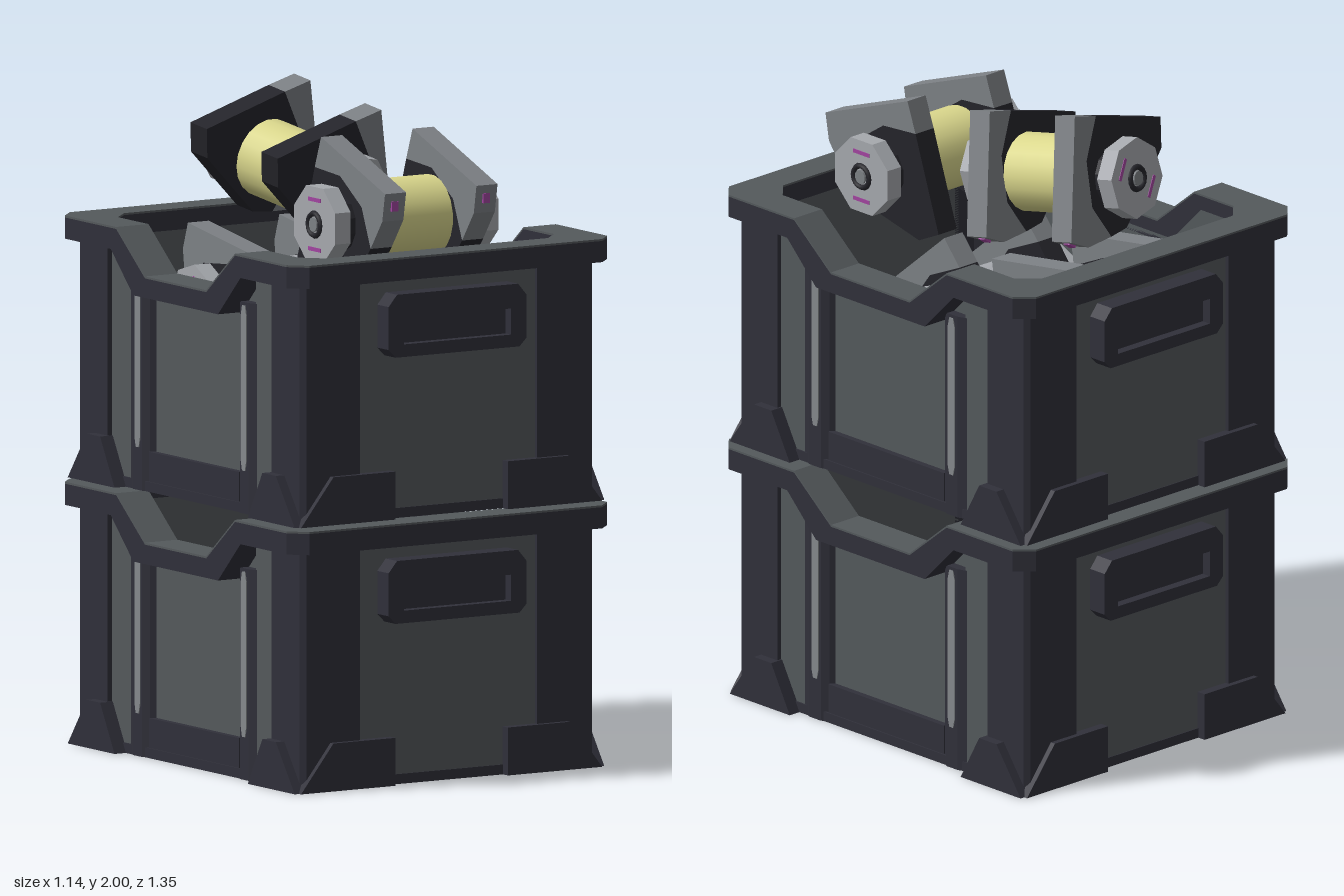
import * as THREE from 'three';

const mat = (name, color) => {
  const m = new THREE.MeshStandardMaterial({ color });
  m.name = name;
  return m;
};

const dark = mat('charcoal plastic', 0x30303a);
const grey = mat('grey panel', 0x54595c);
const sheen = mat('pale rib', 0x85898c);
const silver = mat('silver metal', 0xa6a9ae);
const steel = mat('steel grey', 0x7d8185);
const black = mat('black metal', 0x25252b);
const yellow = mat('pale yellow', 0xdad78c);
const magenta = mat('magenta mark', 0xa245a0);

function add(group, name, geometry, material) {
  const mesh = new THREE.Mesh(geometry, material);
  mesh.name = name;
  group.add(mesh);
  return mesh;
}

const shapeOf = pts => new THREE.Shape(pts.map(([a, b]) => new THREE.Vector2(a, b)));
const extrude = (shape, depth) => new THREE.ExtrudeGeometry(shape, { depth, bevelEnabled: false });

// Plan outline given as [x, z], extruded from y0 to y1
function plan(pts, y0, y1) {
  return extrude(shapeOf(pts.map(([x, z]) => [x, -z])), y1 - y0).rotateX(-Math.PI / 2).translate(0, y0, 0);
}
// Side outline given as [z, y], extruded from x0 to x1
function side(pts, x0, x1) {
  return extrude(shapeOf(pts.map(([z, y]) => [-z, y])), x1 - x0).rotateY(Math.PI / 2).translate(x0, 0, 0);
}
// Front outline given as [x, y], extruded from z0 to z1
function front(pts, z0, z1, hole) {
  const shape = shapeOf(pts);
  if (hole) shape.holes.push(shapeOf(hole));
  return extrude(shape, z1 - z0).translate(0, 0, z0);
}
function box(x0, x1, y0, y1, z0, z1) {
  return new THREE.BoxGeometry(x1 - x0, y1 - y0, z1 - z0)
    .translate((x0 + x1) / 2, (y0 + y1) / 2, (z0 + z1) / 2);
}
const mirrored = half => [...half, ...half.map(([a, b]) => [-a, b]).reverse()];

function createCrate() {
  const crate = new THREE.Group();
  crate.name = 'crate';
  add(crate, 'base', box(-0.51, 0.51, 0, 0.03, -0.615, 0.615), dark);
  add(crate, 'innerFloor', box(-0.46, 0.46, 0.22, 0.25, -0.57, 0.57), dark);

  // Corner columns
  for (const sx of [-1, 1]) for (const sz of [-1, 1]) {
    const pts = [[0.315, 0.56], [0.315, 0.625], [0.505, 0.625], [0.52, 0.61],
      [0.52, 0.455], [0.455, 0.455], [0.455, 0.5], [0.395, 0.56]];
    add(crate, 'cornerColumn', plan(pts.map(([x, z]) => [x * sx, z * sz]), 0, 0.73), dark);
  }

  const railTop = [[0.5, 0.795], [0.33, 0.795], [0.17, 0.665]];
  const railLow = [[0.5, 0.725], [0.36, 0.725], [0.235, 0.6]];
  const wallTop = railLow.map(([z, y]) => [z, y + 0.02]);
  const strip = (a, b) => [...mirrored(a), ...mirrored(b).reverse()];
  const endRail = [[-0.57, 0.5], [-0.57, 0.615], [-0.52, 0.665], [0.52, 0.665], [0.57, 0.615],
    [0.57, 0.5], [0.455, 0.5], [0.395, 0.56], [-0.395, 0.56], [-0.455, 0.5]];

  // Each half holds one end wall and one long side wall
  for (const turn of [0, Math.PI]) {
    const half = new THREE.Group();
    half.name = 'crateHalf';
    half.rotation.y = turn;
    crate.add(half);

    // End wall with rim and handle
    add(half, 'endPanel', box(-0.33, 0.33, 0, 0.73, 0.56, 0.612), grey);
    add(half, 'endRim', plan(endRail, 0.725, 0.789), dark);
    add(half, 'endRimTop', plan(endRail, 0.789, 0.795), grey);
    const handle = mirrored([[0.22, 0.495], [0.245, 0.52], [0.245, 0.65], [0.215, 0.685]]);
    const slot = mirrored([[0.19, 0.533], [0.19, 0.612]]);
    add(half, 'handle', front(handle, 0.6, 0.675, slot), dark);
    add(half, 'handleRecess', box(-0.2, 0.2, 0.52, 0.62, 0.61, 0.645), dark);

    // Side wall with dipped rim
    add(half, 'sideWall', side([...mirrored(wallTop), [-0.5, 0], [0.5, 0]], 0.455, 0.485), grey);
    add(half, 'sideRim', side(strip(railTop.map(([z, y]) => [z, y - 0.006]), railLow), 0.455, 0.57), dark);
    add(half, 'sideRimTop', side(strip(railTop, railTop.map(([z, y]) => [z, y - 0.006])), 0.455, 0.57), grey);
    add(half, 'sideSill', side([[-0.25, 0], [-0.25, 0.12], [0.25, 0.12], [0.25, 0]], 0.48, 0.505), dark);
    for (const s of [-1, 1]) {
      const zBox = (x0, x1, y0, y1, a, b) => box(x0, x1, y0, y1, Math.min(a * s, b * s), Math.max(a * s, b * s));
      add(half, 'sidePanel', zBox(0.48, 0.505, 0, 0.73, 0.345, 0.46), grey);
      const post = [[0.48, 0.235], [0.5, 0.25], [0.515, 0.272], [0.515, 0.32], [0.505, 0.35], [0.48, 0.35]];
      add(half, 'sideRib', plan(post.map(([x, z]) => [x, z * s]), 0, 0.64), dark);
      const mark = [[0.28, 0.16], [0.28, 0.6], [0.287, 0.63], [0.303, 0.63], [0.31, 0.6], [0.31, 0.16], [0.303, 0.13], [0.287, 0.13]];
      add(half, 'ribHighlight', side(mark.map(([z, y]) => [z * s, y]), 0.513, 0.518), sheen);

      // Foot guards that meet at the bottom corners
      const endFoot = [[0.2, 0], [0.2, 0.145], [0.42, 0.145], [0.535, 0]];
      add(half, 'endFootGuard', front(endFoot.map(([x, y]) => [x * s, y]), 0.6, 0.642), dark);
      const sideFoot = [[0.37, 0], [0.45, 0.145], [0.525, 0.145], [0.63, 0]];
      add(half, 'sideFootGuard', side(sideFoot.map(([z, y]) => [z * s, y]), 0.48, 0.55), dark);
    }
  }
  return crate;
}

// Cylinder lying along x
function roller(r, x0, x1, sides, flat) {
  let g = new THREE.CylinderGeometry(r, r, Math.abs(x1 - x0), sides);
  g.rotateY(Math.PI / sides).rotateZ(Math.PI / 2).translate((x0 + x1) / 2, 0, 0);
  if (flat) {
    g = g.toNonIndexed();
    g.computeVertexNormals();
  }
  return g;
}

function createReel(core) {
  const reel = new THREE.Group();
  reel.name = 'reel';
  const light = [[0.25, 0.115], [0.235, 0.03], [0.17, -0.06], [0.12, 0.06], [0, 0.14], [-0.14, 0.15], [-0.105, 0.245]];
  const shade = [[0.17, -0.06], [0.12, 0.06], [0, 0.14], [-0.14, 0.15], [-0.24, -0.145], [-0.155, -0.185], [0.12, -0.12]];
  add(reel, 'reelCore', roller(0.12, -0.125, 0.125, 20, false), core);
  for (const s of [-1, 1]) {
    const a = s > 0 ? 0.125 : -0.2;
    add(reel, 'bracketPlate', side(light, a, a + 0.075), steel);
    add(reel, 'bracketBack', side(shade, a, a + 0.075), black);
    add(reel, 'bracketMark', box(s * 0.1625 - 0.012, s * 0.1625 + 0.012, 0.06, 0.09, 0.24, 0.249), magenta);
    add(reel, 'collar', roller(0.09, s * 0.19, s * 0.24, 12, true), black);
    add(reel, 'endDisc', roller(0.123, s * 0.235, s * 0.29, 8, true), silver);
    const ring = new THREE.TorusGeometry(0.034, 0.009, 6, 16).rotateY(Math.PI / 2).translate(s * 0.29, 0, 0);
    add(reel, 'hubRing', ring, black);
    add(reel, 'hub', roller(0.022, s * 0.28, s * 0.297, 10, true), steel);
    for (const t of [-1, 1])
      add(reel, 'discMark', box(s * 0.29 - 0.002, s * 0.29 + 0.002, t * 0.075 - 0.006, t * 0.075 + 0.006, -0.035, 0.035), magenta);
  }
  return reel;
}

export function createModel() {
  const model = new THREE.Group();
  model.name = 'stackedCrates';

  // Two stacked crates
  for (const y of [0, 0.805]) {
    const crate = createCrate();
    crate.position.y = y;
    model.add(crate);
  }

  // Reels piled in the upper crate: position, rotation, core material
  const reels = [
    [[0.006, 1.665, 0.325], [0, 0, 0], yellow],
    [[0.006, 1.25, 0.075], [0.35, 0, 0], silver],
    [[0.006, 1.34, -0.355], [-0.5, Math.PI, 0], silver],
    [[-0.005, 1.745, -0.225], [0.96, Math.PI / 2 + 0.154, 0.169], yellow],
  ];
  for (const [p, r, core] of reels) {
    const reel = createReel(core);
    reel.position.set(...p);
    reel.rotation.set(...r, 'YZX');
    model.add(reel);
  }
  return model;
}
